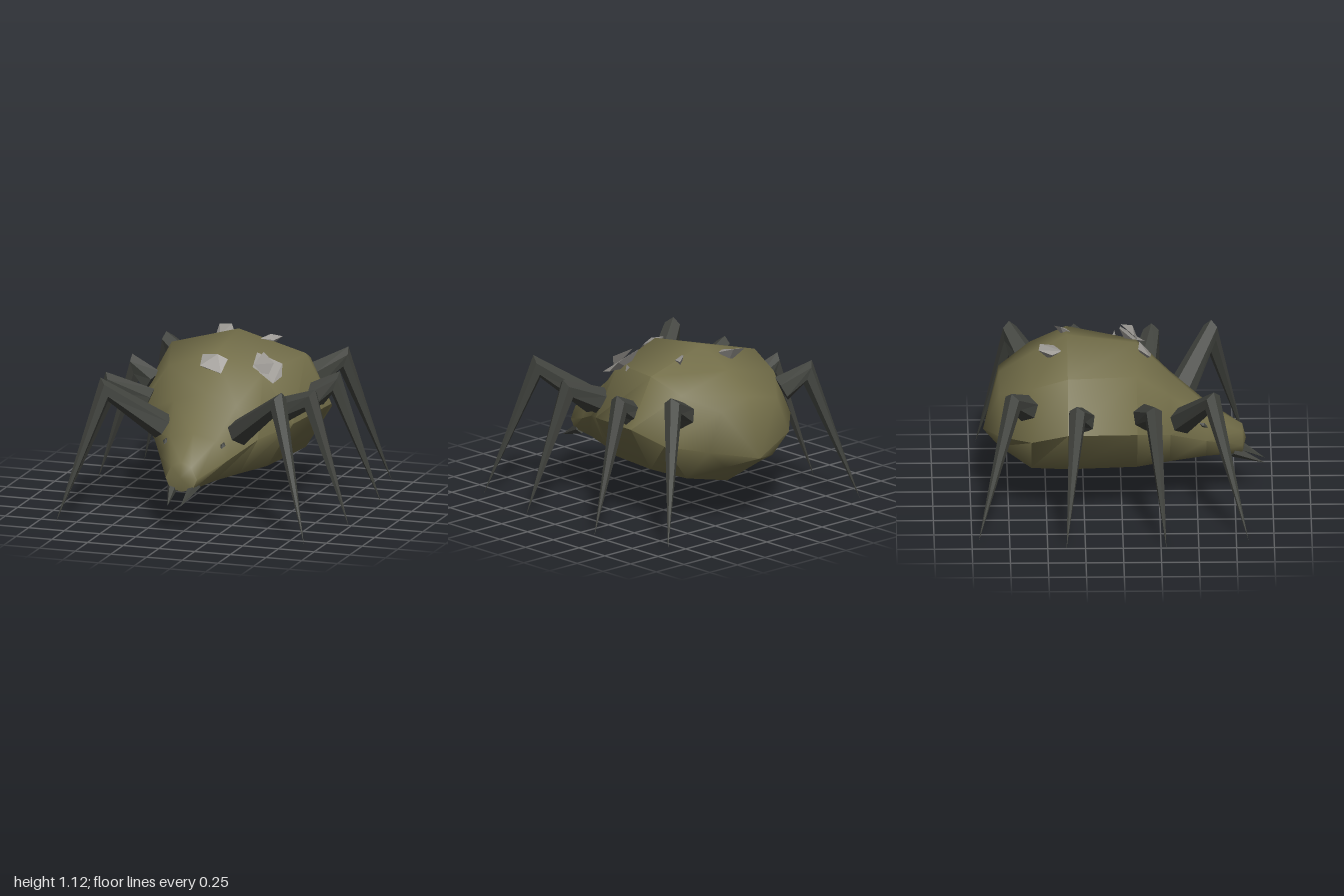
import * as THREE from 'three';
import { toCreasedNormals } from 'three/addons/utils/BufferGeometryUtils.js';
import { ConvexGeometry } from 'three/addons/geometries/ConvexGeometry.js';

const V = (x, y, z) => new THREE.Vector3(x, y, z);

// Skin a list of closed rings; a ring of one repeated point closes an end.
function loft(rings) {
  const n = rings[0].length;
  const index = [];
  for (let i = 0; i < rings.length - 1; i++) {
    for (let j = 0; j < n; j++) {
      const a = i * n + j, b = i * n + (j + 1) % n;
      index.push(a, b, a + n, b, b + n, a + n);
    }
  }
  const geo = new THREE.BufferGeometry().setFromPoints(rings.flat());
  geo.setIndex(index);
  geo.computeVertexNormals();
  return geo;
}

const pointRing = (p, n) => Array.from({ length: n }, () => p);

export function createModel() {
  const model = new THREE.Group();
  const material = (name, color, flatShading) => {
    const m = new THREE.MeshStandardMaterial({ color, flatShading });
    m.name = name;
    return m;
  };
  const olive = material('oliveHide', 0x736e49, false);
  const dark = material('darkShell', 0x41433e, true);
  const stone = material('greyStone', 0x9a9792, true);
  const add = (name, geo, mat) => {
    const mesh = new THREE.Mesh(geo, mat);
    mesh.name = name;
    model.add(mesh);
    return mesh;
  };

  // Body: z, top y, upper (x, y), side (x, y), lower (x, y), bottom y
  const sections = [
    [0.80, 0.48, 0.07, 0.45, 0.11, 0.37, 0.08, 0.30, 0.28],
    [0.56, 0.62, 0.16, 0.58, 0.235, 0.45, 0.15, 0.31, 0.28],
    [0.32, 0.84, 0.22, 0.77, 0.37, 0.55, 0.24, 0.31, 0.275],
    [0.10, 1.06, 0.33, 0.95, 0.54, 0.62, 0.36, 0.32, 0.25],
    [-0.36, 1.12, 0.47, 0.99, 0.65, 0.66, 0.47, 0.35, 0.21],
    [-0.60, 0.99, 0.42, 0.90, 0.57, 0.58, 0.37, 0.32, 0.23],
    [-0.81, 0.855, 0.25, 0.80, 0.36, 0.54, 0.21, 0.41, 0.37],
  ];
  const rings = sections.map(([z, top, ux, uy, sx, sy, lx, ly, bottom]) => [
    V(0, top, z), V(ux, uy, z), V(sx, sy, z), V(lx, ly, z),
    V(0, bottom, z), V(-lx, ly, z), V(-sx, sy, z), V(-ux, uy, z),
  ]);
  rings.unshift(pointRing(V(0, 0.38, 0.825), 8));
  rings.push(pointRing(V(0, 0.45, -0.915), 8));
  add('body', toCreasedNormals(loft(rings), 1.0), olive);

  // Legs: a thick thigh, a mitred knee and a long spike down to the ground
  function legGeometry(base, knee, tip) {
    const d1 = knee.clone().sub(base).normalize();
    const d2 = tip.clone().sub(knee).normalize();
    const side = d1.clone().cross(d2).normalize();
    const ring = (center, up, rSide, rUp) => Array.from({ length: 6 }, (_, j) => {
      const a = (j + 0.5) / 6 * Math.PI * 2;
      return center.clone().addScaledVector(side, rSide * Math.cos(a))
        .addScaledVector(up, rUp * Math.sin(a));
    });
    return loft([
      pointRing(base, 6),
      ring(base, d1.clone().cross(side), 0.095, 0.09),
      ring(knee, d1.clone().sub(d2).normalize(), 0.06, 0.085),
      pointRing(tip, 6),
    ]);
  }
  const legs = [
    ['frontLeg', [0.27, 0.61, 0.40], [0.61, 0.88, 0.595], [0.87, 0, 0.83]],
    ['midFrontLeg', [0.45, 0.71, 0.155], [0.70, 0.82, 0.205], [0.995, 0, 0.285]],
    ['midBackLeg', [0.56, 0.73, -0.27], [0.70, 0.82, -0.30], [0.995, 0, -0.375]],
    ['backLeg', [0.45, 0.78, -0.64], [0.61, 0.88, -0.725], [0.87, 0, -0.955]],
  ];

  for (const s of [1, -1]) {
    const label = s > 0 ? 'Left' : 'Right';
    for (const [name, ...joints] of legs) {
      const [base, knee, tip] = joints.map(([x, y, z]) => V(s * x, y, z));
      add(name + label, legGeometry(base, knee, tip), dark);
    }

    // Fang under the snout
    const root = V(s * 0.075, 0.315, 0.74), point = V(s * 0.045, 0.215, 0.95);
    const dir = point.clone().sub(root);
    const fang = add('fang' + label, new THREE.ConeGeometry(0.042, dir.length(), 5), dark);
    fang.position.copy(root).add(point).multiplyScalar(0.5);
    fang.quaternion.setFromUnitVectors(V(0, 1, 0), dir.normalize());

    // Small slanted eye
    const eye = add('eye' + label, new THREE.OctahedronGeometry(1), dark);
    eye.scale.set(0.02, 0.018, 0.036);
    eye.position.set(s * 0.2, 0.55, 0.54);
    eye.rotation.x = 0.5;
  }

  // Broken stones stuck in the back, each the hull of a few corners
  const stones = {
    stoneFront: [[-0.09, 1.05, 0.11], [0.09, 1.03, 0.12], [0.07, 0.95, 0.2],
      [-0.08, 0.99, 0.19], [0.0, 0.94, 0.15], [0.02, 1.06, 0.12]],
    stoneSlab: [[0.25, 1.06, -0.01], [0.25, 0.98, 0.08], [0.42, 0.9, 0.16],
      [0.45, 0.93, 0.06], [0.43, 1.0, 0.0], [0.3, 0.93, 0.04]],
    stoneSpike: [[0.26, 1.0, 0.09], [0.3, 1.07, 0.0], [0.4, 1.02, 0.08], [0.36, 0.92, 0.12]],
    stoneChip: [[0.36, 0.95, -0.06], [0.39, 0.99, -0.04], [0.39, 0.94, -0.03], [0.37, 0.92, -0.04]],
    stoneBackRight: [[-0.2, 1.09, -0.55], [-0.11, 1.1, -0.54], [-0.06, 1.07, -0.45],
      [-0.14, 1.06, -0.39], [-0.19, 1.05, -0.46], [-0.13, 0.99, -0.47]],
    stoneBackLeft: [[0.16, 1.07, -0.33], [0.21, 1.09, -0.4], [0.28, 1.07, -0.44],
      [0.25, 1.06, -0.36], [0.2, 1.0, -0.36]],
  };
  for (const [name, corners] of Object.entries(stones)) {
    add(name, new ConvexGeometry(corners.map(c => V(...c))), stone);
  }
  return model;
}
